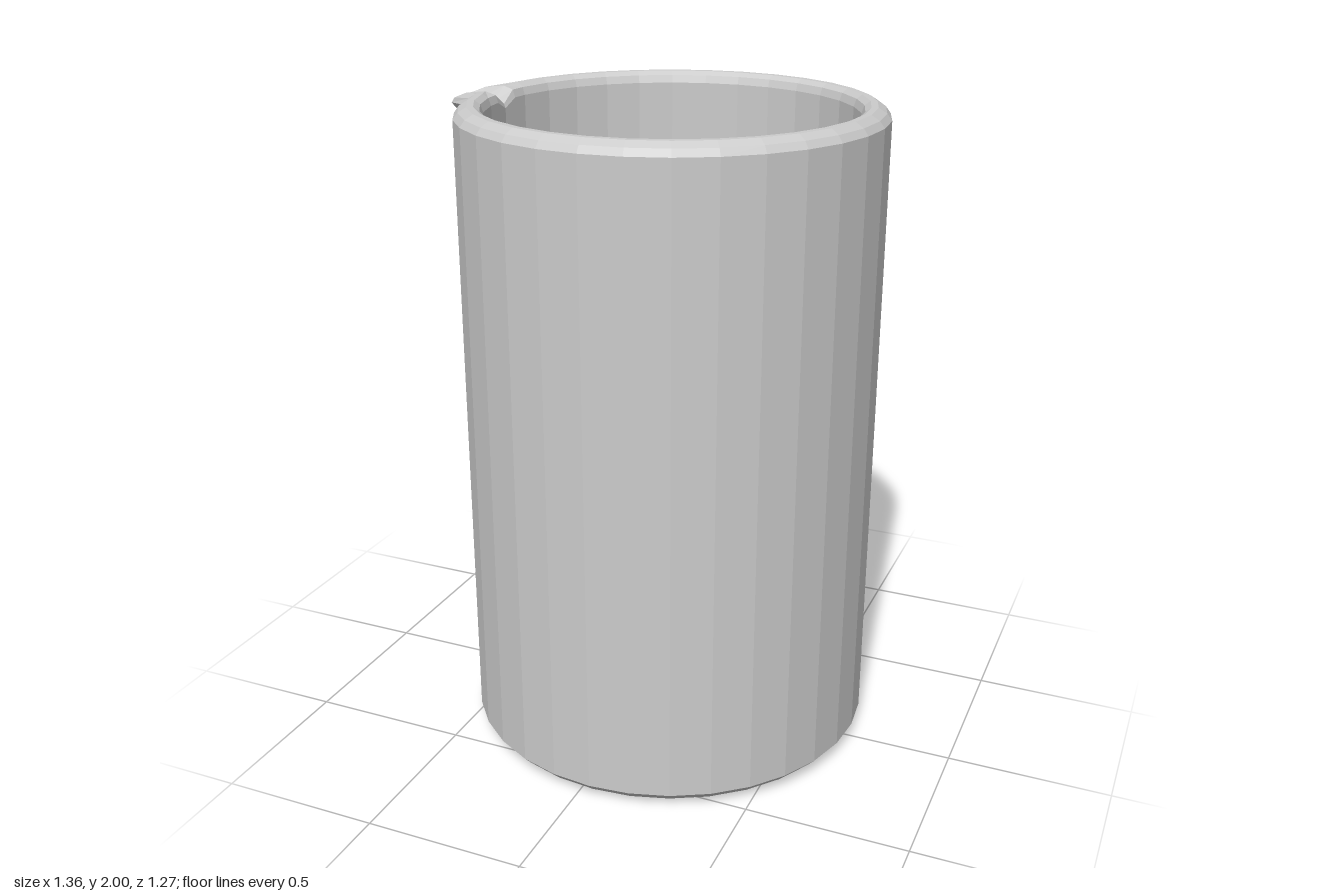
import * as THREE from 'three';

const SIDES = 32;
const CENTRE_X = 0.045;

// Wall section, from the underside centre out, up, over the rim and down to the floor: [radius, y]
const PROFILE = [
  [0, 0], [0.55, 0], [0.61, 0.018], [0.635, 0.045],
  [0.635, 1.845], [0.635, 1.965], [0.62, 1.985], [0.595, 2],
  [0.575, 2], [0.558, 1.988], [0.55, 1.965], [0.55, 0.08], [0, 0.08],
];

// Rim points pulled outward for the spout, by profile index: [x, y, z]
const SPOUT_MIDDLE = {
  5: [-0.68, 1.945, 0], 6: [-0.677, 1.957, 0], 7: [-0.61, 1.955, 0],
  8: [-0.55, 1.955, 0], 9: [-0.51, 1.953, 0], 10: [-0.505, 1.94, 0],
};
const SPOUT_SIDE = {
  4: [-0.587, 1.905, 0.062], 5: [-0.664, 1.955, 0.05], 6: [-0.65, 1.972, 0.055],
  7: [-0.605, 1.99, 0.06], 8: [-0.54, 1.998, 0.058],
};

// Cross-sections around the axis, with an extra one either side of the spout
function makeColumns() {
  const columns = [];
  for (let i = 0; i < SIDES; i++) {
    const steps = [i];
    if (i === SIDES / 2 - 1 || i === SIDES / 2) steps.push(i + 0.5);
    for (const s of steps) {
      const t = (s / SIDES) * Math.PI * 2;
      const half = s !== i;
      const flat = half ? Math.cos(Math.PI / SIDES) : 1; // stay on the facet
      const moved = half ? SPOUT_SIDE : s === SIDES / 2 ? SPOUT_MIDDLE : {};
      const sign = s < SIDES / 2 ? 1 : -1;
      columns.push(PROFILE.map(([r, y], j) => {
        if (moved[j]) return [moved[j][0], moved[j][1], moved[j][2] * sign];
        return [CENTRE_X + r * flat * Math.cos(t), y, r * flat * Math.sin(t)];
      }));
    }
  }
  return columns;
}

// Skin the cross-sections; diagonals mirror across the spout
function makeBeakerGeometry() {
  const columns = makeColumns();
  const n = columns.length;
  const last = PROFILE.length - 1;
  const positions = [];
  const tri = (...corners) => corners.forEach((c) => positions.push(...c));
  for (let i = 0; i < n; i++) {
    const p = columns[i], q = columns[(i + 1) % n];
    for (let j = 0; j < last; j++) {
      if (j === 0) tri(p[0], p[1], q[1]);
      else if (j === last - 1) tri(p[j], p[last], q[j]);
      else if (i < n / 2) {
        tri(p[j], p[j + 1], q[j]);
        tri(q[j], p[j + 1], q[j + 1]);
      } else {
        tri(p[j], p[j + 1], q[j + 1]);
        tri(p[j], q[j + 1], q[j]);
      }
    }
  }
  const geometry = new THREE.BufferGeometry();
  geometry.setAttribute('position', new THREE.Float32BufferAttribute(positions, 3));
  geometry.computeVertexNormals();
  return geometry;
}

export function createModel() {
  const group = new THREE.Group();
  group.name = 'beaker';
  const material = new THREE.MeshStandardMaterial({ color: 0xcccccc, flatShading: true });
  const body = new THREE.Mesh(makeBeakerGeometry(), material);
  body.name = 'beakerBodyWithSpout';
  group.add(body);
  return group;
}
